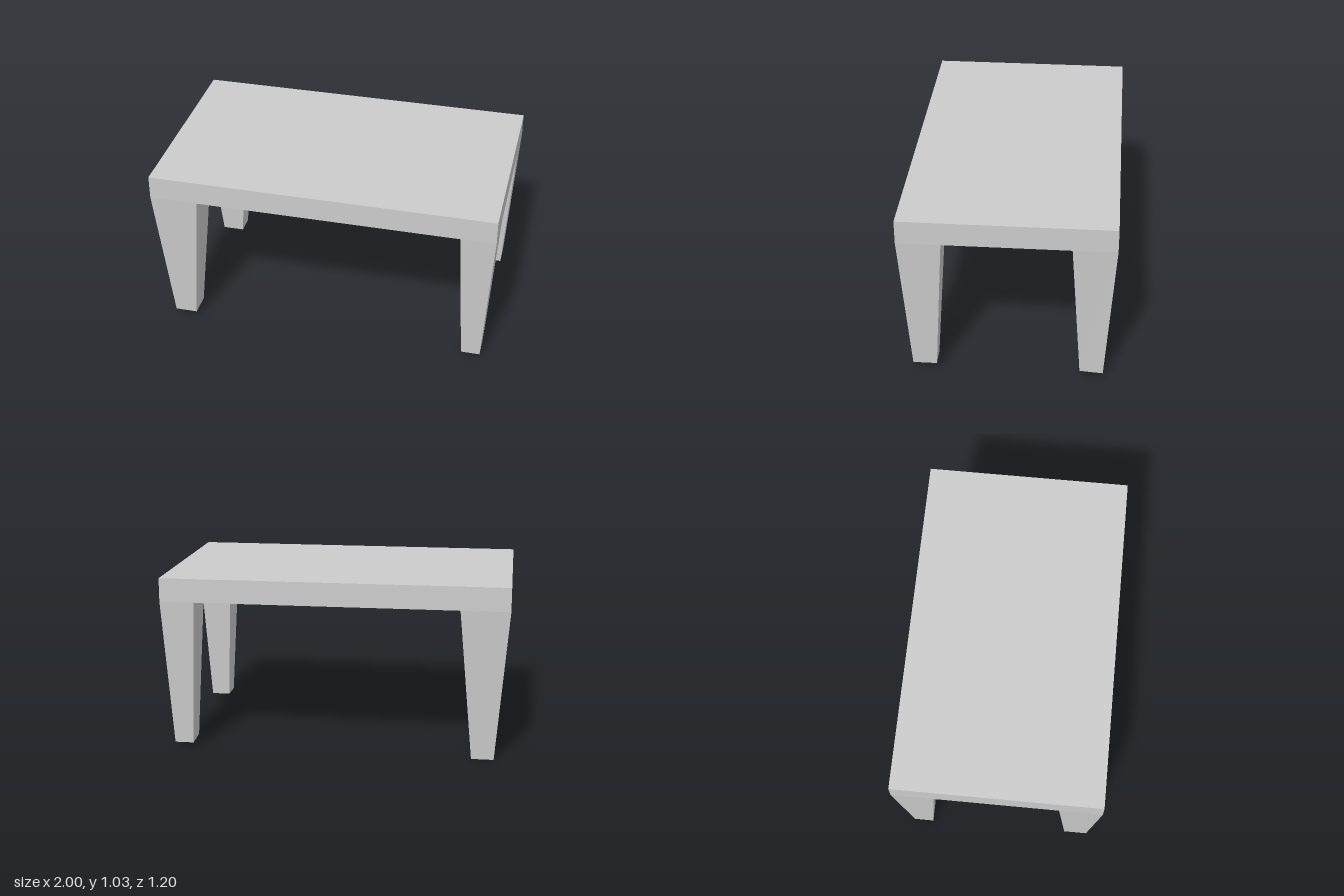
import * as THREE from 'three';

const material = new THREE.MeshStandardMaterial({ color: 0xcccccc, flatShading: true });

const HALF_X = 1, HALF_Z = 0.598;
const TOP = 1.027, CEILING = 0.97, APRON = 0.89;
// inner edges of the apron, in line with the inner faces of the legs
const INNER = { left: 0.8, right: -0.72, front: 0.352, back: -0.355 };

function addMesh(group, name, geometry) {
  const mesh = new THREE.Mesh(geometry, material);
  mesh.name = name;
  group.add(mesh);
}

// Tapered square leg: each corner moves from its top to its foot position.
// x and z are [outerTop, innerTop, outerFoot, innerFoot], foot is [outerY, innerY] along z.
function taperedLeg(x, z, foot) {
  const geometry = new THREE.BoxGeometry(1, 1, 1);
  const p = geometry.attributes.position;
  for (let i = 0; i < p.count; i++) {
    const isFoot = p.getY(i) < 0;
    const innerX = p.getX(i) * x[0] < 0 ? 1 : 0;
    const innerZ = p.getZ(i) * z[0] < 0 ? 1 : 0;
    const k = isFoot ? 2 : 0;
    p.setXYZ(i, x[k + innerX], isFoot ? foot[innerZ] : APRON, z[k + innerZ]);
  }
  geometry.computeVertexNormals();
  return geometry;
}

// Rectangle outline in plan, added to a shape or hole path
function rectangle(path, x0, x1, z0, z1) {
  path.moveTo(x0, z0);
  path.lineTo(x1, z0);
  path.lineTo(x1, z1);
  path.lineTo(x0, z1);
  path.closePath();
  return path;
}

export function createModel() {
  const table = new THREE.Group();
  table.name = 'table';

  // Table top slab
  const slab = new THREE.BoxGeometry(2 * HALF_X, TOP - CEILING, 2 * HALF_Z);
  slab.translate(0, (TOP + CEILING) / 2, 0);
  addMesh(table, 'tableTop', slab);

  // Apron frame around the recessed underside
  const frame = rectangle(new THREE.Shape(), -HALF_X, HALF_X, -HALF_Z, HALF_Z);
  frame.holes.push(rectangle(new THREE.Path(), INNER.right, INNER.left, INNER.back, INNER.front));
  const apron = new THREE.ExtrudeGeometry(frame, { depth: CEILING - APRON, bevelEnabled: false });
  apron.rotateX(Math.PI / 2).translate(0, CEILING, 0);
  addMesh(table, 'apron', apron);

  // Four legs, the right pair wider and the feet at slightly different heights
  const leftX = [HALF_X, INNER.left, 0.95, 0.84];
  const rightX = [-HALF_X, INNER.right, -0.927, -0.797];
  const frontZ = [HALF_Z, INNER.front, 0.543, 0.407];
  const backZ = [-HALF_Z, INNER.back, -0.543, -0.41];
  const backRightZ = [-HALF_Z, INNER.back, -0.533, -0.418];
  addMesh(table, 'frontLeftLeg', taperedLeg(leftX, frontZ, [0.044, 0.044]));
  addMesh(table, 'frontRightLeg', taperedLeg(rightX, frontZ, [0.044, 0.044]));
  addMesh(table, 'backLeftLeg', taperedLeg(leftX, backZ, [0.028, 0.038]));
  addMesh(table, 'backRightLeg', taperedLeg(rightX, backRightZ, [0, 0]));

  return table;
}
